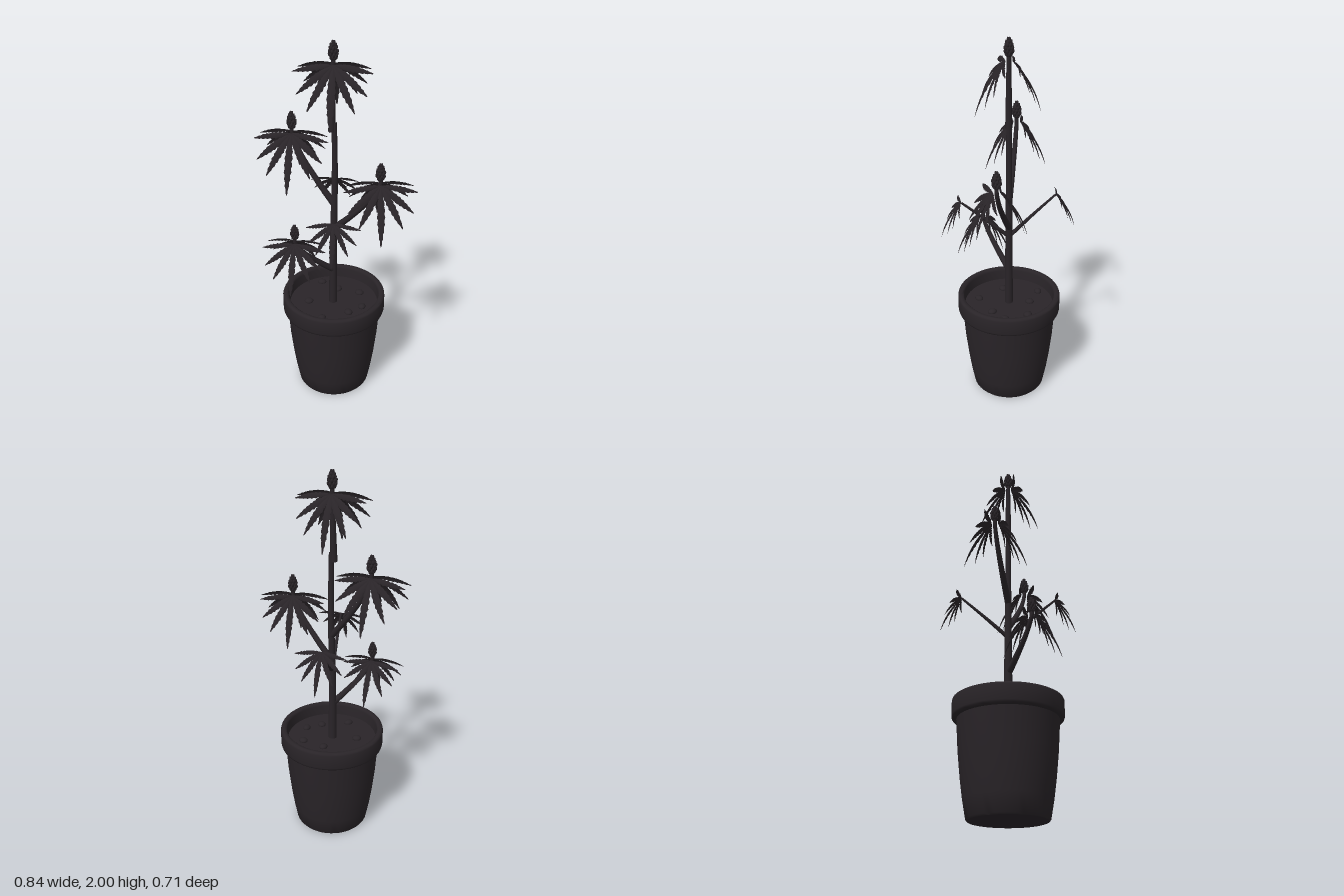
import * as THREE from 'three';
import { mergeGeometries, toCreasedNormals } from 'three/addons/utils/BufferGeometryUtils.js';

const V = (x, y, z) => new THREE.Vector3(x, y, z);
const dark = new THREE.MeshStandardMaterial({ color: 0x292428 });
const leafDark = new THREE.MeshStandardMaterial({ color: 0x292428, side: THREE.DoubleSide });
const CX = -0.012; // pot and stem axis

function part(name, geometry, material = dark) {
  const mesh = new THREE.Mesh(geometry, material);
  mesh.name = name;
  return mesh;
}

// Round stem along a curve, narrowing from r0 to r1
function taperedTube(points, r0, r1, steps = 20, sides = 10) {
  const curve = new THREE.CatmullRomCurve3(points);
  const geo = new THREE.TubeGeometry(curve, steps, r0, sides);
  const pos = geo.attributes.position, p = V(0, 0, 0);
  for (let i = 0; i <= steps; i++) {
    const centre = curve.getPointAt(i / steps);
    const k = 1 + (r1 / r0 - 1) * (i / steps);
    for (let j = 0; j <= sides; j++) {
      const n = i * (sides + 1) + j;
      p.fromBufferAttribute(pos, n).sub(centre).multiplyScalar(k).add(centre);
      pos.setXYZ(n, p.x, p.y, p.z);
    }
  }
  return geo;
}

// One saw-edged leaflet along +z: arched, folded down along the midrib
function leaflet(length, width) {
  const rows = 18, pos = [], index = [];
  for (let i = 0; i <= rows; i++) {
    const t = i / rows;
    const tooth = i % 2 ? 1 : 0.76;
    const w = 0.5 * width * tooth * Math.pow(Math.sin(Math.PI * Math.pow(t, 0.9)) + 1e-6, 0.85) + 0.0012 * (1 - t);
    const y = 0.32 * length * t * (1 - t);
    const z = length * t;
    const forward = i % 2 ? 0.012 * length : 0;
    pos.push(-w, y - 0.4 * w, z + forward, 0, y, z, w, y - 0.4 * w, z + forward);
    if (i < rows) for (let c = 0; c < 2; c++) {
      const a = i * 3 + c;
      index.push(a, a + 3, a + 1, a + 1, a + 3, a + 4);
    }
  }
  const geo = new THREE.BufferGeometry();
  geo.setAttribute('position', new THREE.Float32BufferAttribute(pos, 3));
  geo.setIndex(index);
  geo.computeVertexNormals();
  return geo;
}

// Hand-shaped leaf of seven leaflets, fanned out in its own plane
function leafGeometry() {
  const fan = [[0, 0.315, 0.042], [27, 0.25, 0.04], [50, 0.22, 0.038], [80, 0.195, 0.032]];
  const list = [];
  for (const [deg, length, width] of fan) {
    for (const side of deg ? [-1, 1] : [1]) {
      list.push(leaflet(length, width).rotateY(side * deg * Math.PI / 180));
    }
  }
  return mergeGeometries(list);
}

// Flower bud: a core covered in rings of small pointed scales
function budGeometry() {
  const list = [new THREE.SphereGeometry(1, 12, 8).scale(0.018, 0.045, 0.018).translate(0, 0.042, 0)];
  const rings = [[0.012, 0.013], [0.026, 0.019], [0.041, 0.019], [0.056, 0.015], [0.07, 0.01], [0.081, 0.004]];
  rings.forEach(([y, r], k) => {
    const count = k < 4 ? 7 : 4;
    for (let i = 0; i < count; i++) {
      const a = (i + 0.5 * (k % 2)) / count * Math.PI * 2;
      list.push(new THREE.SphereGeometry(1, 6, 5).scale(0.007, 0.012, 0.007).rotateZ(-0.3)
        .translate(r, y, 0).rotateY(a));
    }
  });
  return mergeGeometries(list);
}

export function createModel() {
  const model = new THREE.Group();
  const leafGeo = leafGeometry();
  const budGeo = budGeometry();

  // Pot with a thick rim, open at the top
  const profile = [[0, 0], [0.195, 0], [0.202, 0.008], [0.219, 0.1], [0.233, 0.2], [0.247, 0.33], [0.258, 0.49],
    [0.272, 0.49], [0.28, 0.496], [0.283, 0.506], [0.283, 0.583], [0.28, 0.592], [0.272, 0.597],
    [0.258, 0.597], [0.252, 0.592], [0.249, 0.58], [0.243, 0.5]];
  const pot = part('pot', toCreasedNormals(
    new THREE.LatheGeometry(profile.map(([x, y]) => new THREE.Vector2(x, y)), 48), 0.75));
  pot.position.x = CX;
  model.add(pot);

  // Soil and pebbles
  const soil = part('soil', new THREE.CylinderGeometry(0.246, 0.243, 0.02, 48));
  soil.position.set(CX, 0.517, 0);
  model.add(soil);
  const pebbles = new THREE.Group();
  pebbles.name = 'pebbles';
  const spots = [[-0.1, -0.175], [0, -0.115], [0.125, -0.09], [-0.06, 0.165], [0.08, 0.1], [-0.15, 0.02], [0.15, 0.04]];
  spots.forEach(([x, z], i) => {
    const pebble = part('pebble', new THREE.SphereGeometry(0.025, 14, 10));
    pebble.scale.set(1, 0.6, 0.8 + 0.06 * (i % 3));
    pebble.rotation.y = i * 1.3;
    pebble.position.set(x, 0.53, z);
    pebbles.add(pebble);
  });
  model.add(pebbles);

  // Main stem and the stouter top shoot
  model.add(part('stem', taperedTube(
    [V(-0.016, 0.52, 0), V(-0.014, 0.9, 0), V(-0.006, 1.3, 0), V(-0.008, 1.6, 0)], 0.023, 0.013, 30, 12)));
  model.add(part('topShoot', taperedTube(
    [V(-0.021, 1.55, 0), V(-0.016, 1.72, 0), V(-0.012, 1.91, 0)], 0.018, 0.011)));

  // A drooping leaf; yaw 0 hangs to the front
  function addLeaf(parent, at, yaw, size) {
    const leaf = part('leaf', leafGeo, leafDark);
    leaf.position.copy(at);
    leaf.rotation.set(1.07, yaw, 0, 'YXZ');
    leaf.scale.setScalar(size);
    parent.add(leaf);
  }

  // Shoot tips: a bud over a front and a back leaf
  function addCrown(x, y, z, size, yaw) {
    const crown = new THREE.Group();
    crown.name = 'crown';
    crown.position.set(x, y, z);
    crown.rotation.y = yaw;
    const bud = part('bud', budGeo);
    bud.position.y = 0.02;
    bud.scale.setScalar(size > 0.9 ? 1 : 0.92);
    crown.add(bud);
    addLeaf(crown, V(0, 0, 0.018), 0, size);
    addLeaf(crown, V(0, 0, -0.018), Math.PI, size * 0.93);
    model.add(crown);
  }
  addCrown(CX, 1.885, 0, 1, 0);

  // Side branches: start height, tip, crown size, yaw
  const branches = [
    [1.15, V(-0.23, 1.51, -0.062), 1, -0.05],
    [1.0, V(0.23, 1.315, 0.083), 0.97, 0.12],
    [0.74, V(-0.2, 0.975, 0.125), 0.87, -0.05],
  ];
  for (const [y0, tip, size, yaw] of branches) {
    const at = (f, h) => V(CX + (tip.x - CX) * f, y0 + (tip.y - y0) * h, tip.z * f);
    model.add(part('branch', taperedTube(
      [at(0, 0), at(0.4, 0.32), at(0.8, 0.7), at(1, 1), at(1, 1).add(V(0, 0.03, 0))], 0.018, 0.01)));
    addCrown(tip.x, tip.y, tip.z, size, yaw);
  }

  // Single leaves on straight stalks, front and back
  for (const [x, z, yaw] of [[0.015, 0.25, 0], [-0.036, -0.25, Math.PI]]) {
    const tip = V(x, 1.17, z);
    model.add(part('leafStalk', taperedTube(
      [V(CX, 0.945, 0), V((CX + x) / 2, 1.06, z / 2), tip], 0.012, 0.006, 10, 8)));
    addLeaf(model, tip, yaw, 0.71);
  }
  return model;
}
